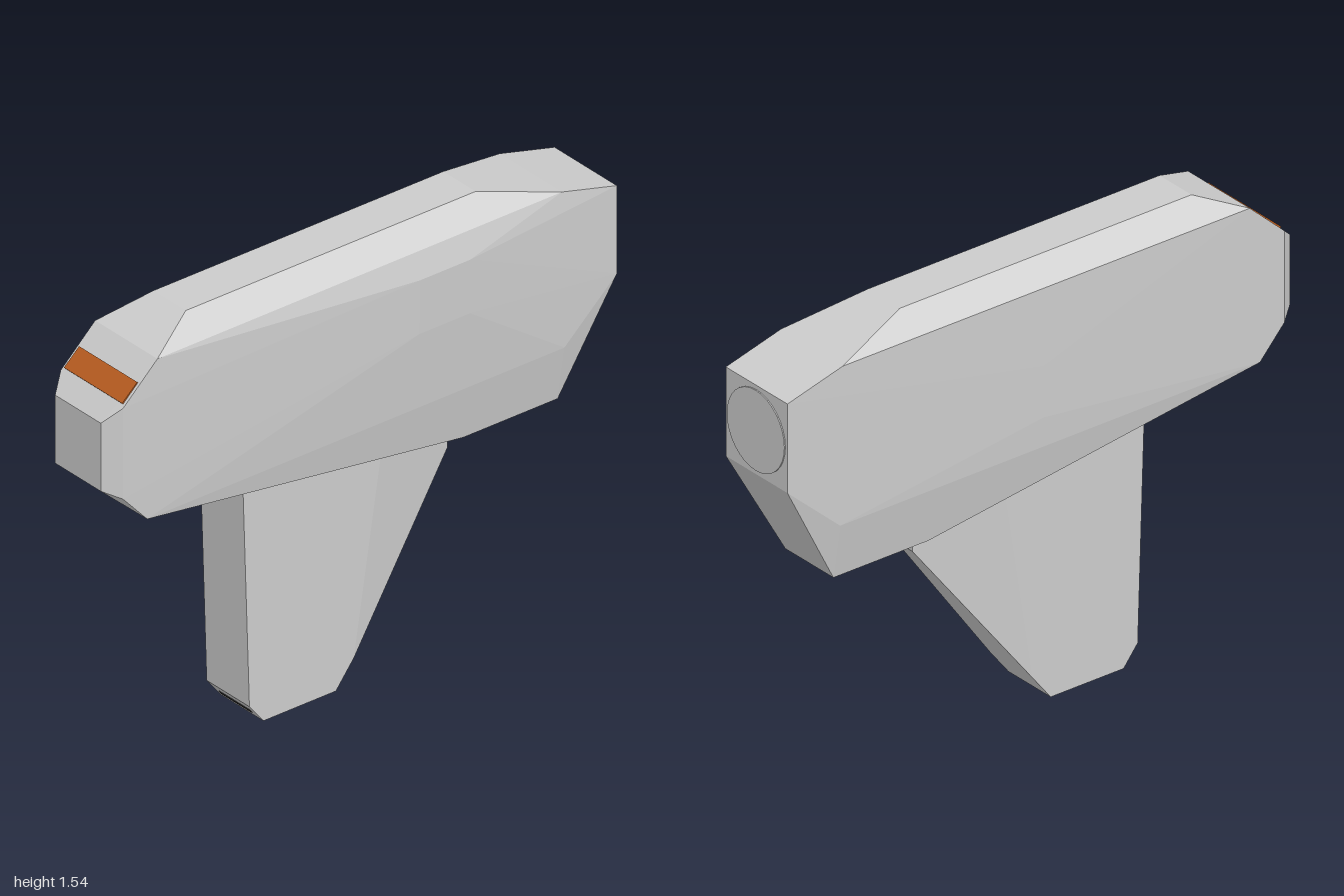
import * as THREE from 'three';
import { ConvexGeometry } from 'three/addons/geometries/ConvexGeometry.js';

const CX = -0.01; // centre line of the casing
const mat = (color) => new THREE.MeshStandardMaterial({ color, flatShading: true });

// Faceted solid from [halfWidth, y, z] stations mirrored about the centre line
function facetedSolid(name, stations, extra = []) {
  const points = extra.map((p) => new THREE.Vector3(...p));
  for (const [w, y, z] of stations)
    for (const s of [-1, 1]) points.push(new THREE.Vector3(CX + s * w, y, z));
  const mesh = new THREE.Mesh(new ConvexGeometry(points), mat(0xcccccc));
  mesh.name = name;
  return mesh;
}

function panel(name, w, h, color, pos, tiltX) {
  const mesh = new THREE.Mesh(new THREE.BoxGeometry(w, h, 0.006), mat(color));
  mesh.name = name;
  mesh.position.set(...pos);
  mesh.rotation.x = tiltX;
  return mesh;
}

export function createModel() {
  const group = new THREE.Group();
  group.name = 'handheldDevice';

  // Long chamfered casing, with slightly swollen flanks
  group.add(facetedSolid('body', [
    [0.11, 1.29, 1.0], [0.11, 1.05, 1.0],
    [0.15, 1.34, 0.945], [0.15, 1.02, 0.945],
    [0.15, 1.465, 0.81], [0.15, 0.915, 0.85],
    [0.078, 1.54, 0.64], [0.078, 1.54, -0.5],
    [0.15, 1.467, -0.78], [0.15, 0.915, -0.79],
    [0.15, 1.41, -0.996], [0.15, 1.1, -0.996],
    [0.117, 0.72, -0.42], [0.117, 0.72, -0.79],
  ], [
    [0.165, 1.38, -0.2], [0.165, 1.38, -0.4],
    [0.163, 1.19, -0.2], [0.163, 1.19, -0.4],
    [-0.165, 1.2, 0.0], [-0.165, 1.02, 0.0],
  ]));

  // Grip narrowing towards its rear edge
  group.add(facetedSolid('grip', [
    [0.103, 0.9, 0.437], [0.103, 0.07, 0.41],
    [0.103, 0, 0.355], [0.103, 0, 0.07],
    [0.103, 0.09, 0.0], [0.103, 0.85, -0.12],
    [0.04, 0.65, -0.42], [0.04, 0.8, -0.42],
  ]));

  // Round cap set flush in the rear face
  const cap = new THREE.Mesh(new THREE.CylinderGeometry(0.14, 0.14, 0.008, 32), mat(0xcccccc));
  cap.name = 'rearCap';
  cap.rotation.x = Math.PI / 2;
  cap.position.set(CX, 1.255, -0.996);
  group.add(cap);

  // Flush coloured inlays
  group.add(panel('frontStrip', 0.28, 0.08, 0xb85c20, [CX, 1.376, 0.909], -0.84));
  group.add(panel('rearTrigger', 0.06, 0.05, 0xd07030, [CX, 0.685, -0.42], 0));
  group.add(panel('gripSlot', 0.15, 0.015, 0x333333, [CX, 0.031, 0.379], 0.67));

  return group;
}
